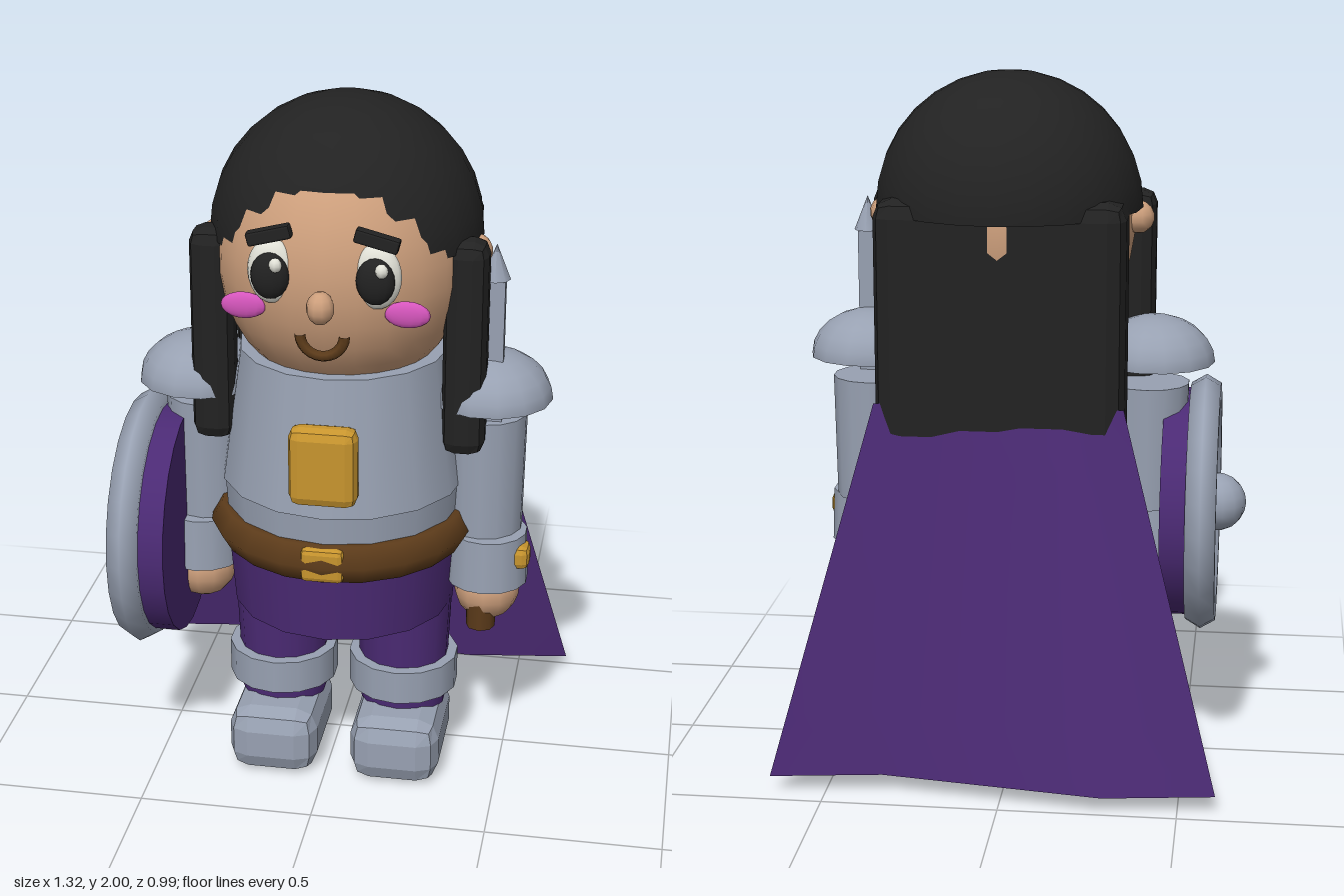
import * as THREE from 'three';
import { RoundedBoxGeometry } from 'three/addons/geometries/RoundedBoxGeometry.js';

export function createModel() {
  const model = new THREE.Group();
  const CX = 0.025, CZ = 0.08; // body axis

  const material = (name, color, extra = {}) => {
    const m = new THREE.MeshStandardMaterial({ color, ...extra });
    m.name = name;
    return m;
  };
  const armour = material('armour grey', 0x98a1b2, { side: THREE.DoubleSide });
  const cloth = material('purple cloth', 0x4b2a74, { side: THREE.DoubleSide });
  const gold = material('gold', 0xc8952e);
  const skin = material('skin', 0xcd9f7c);
  const black = material('black hair', 0x222222, { side: THREE.DoubleSide });
  const leather = material('brown leather', 0x5c3b1a);
  const white = material('eye white', 0xe2e2d8);
  const pink = material('blush pink', 0xd656bd);

  const add = (name, geometry, mat, x, y, z) => {
    const mesh = new THREE.Mesh(geometry, mat);
    mesh.name = name;
    mesh.position.set(x, y, z);
    model.add(mesh);
    return mesh;
  };
  // box with chamfered, flat edges
  const block = (name, mat, w, h, d, chamfer, x, y, z) => {
    const g = new RoundedBoxGeometry(w, h, d, 1, chamfer).toNonIndexed();
    g.computeVertexNormals();
    return add(name, g, mat, x, y, z);
  };
  const ball = (name, mat, rx, ry, rz, x, y, z, seg = 14) =>
    add(name, new THREE.SphereGeometry(1, seg, Math.ceil(seg * 0.7)).scale(rx, ry, rz), mat, x, y, z);
  // upright tapered cylinder between two heights
  const column = (name, mat, rTop, rBottom, y0, y1, x, z, seg = 16) =>
    add(name, new THREE.CylinderGeometry(rTop, rBottom, y1 - y0, seg), mat, x, (y0 + y1) / 2, z);

  // torso, hips and belt
  column('chestArmour', armour, 0.295, 0.35, 0.91, 1.3, CX, CZ);
  column('waistArmour', armour, 0.345, 0.335, 0.76, 0.91, CX, CZ);
  column('hips', cloth, 0.34, 0.32, 0.52, 0.76, CX, CZ);
  add('belt', new THREE.TorusGeometry(0.32, 0.063, 6, 20).rotateX(Math.PI / 2), leather, CX, 0.775, CZ + 0.005);
  block('beltBuckle', gold, 0.12, 0.1, 0.06, 0.015, CX, 0.775, 0.425);
  block('chestPlate', gold, 0.19, 0.23, 0.08, 0.03, CX, 1.065, 0.415);

  // head
  ball('head', skin, 0.355, 0.39, 0.355, CX, 1.57, CZ, 24);
  ball('nose', skin, 0.038, 0.045, 0.04, CX, 1.535, 0.455, 10);
  add('mouth', new THREE.TorusGeometry(0.06, 0.015, 6, 12, Math.PI).rotateZ(Math.PI), leather, CX, 1.45, 0.428);

  // hair
  add('hairCap', new THREE.SphereGeometry(0.38, 24, 8, 0, Math.PI * 2, 0, Math.PI / 2), black, CX, 1.62, 0.03);
  block('backHair', black, 0.7, 0.74, 0.21, 0.05, CX, 1.3, -0.165);

  for (const s of [-1, 1]) {
    const side = s < 0 ? 'right' : 'left';

    // face
    ball(side + 'Ear', skin, 0.045, 0.047, 0.045, CX + s * 0.365, 1.585, 0.07, 10);
    ball(side + 'Eye', white, 0.066, 0.09, 0.035, CX + s * 0.14, 1.61, 0.395, 16);
    ball(side + 'Pupil', black, 0.052, 0.064, 0.03, CX + s * 0.14, 1.605, 0.422);
    ball(side + 'EyeHighlight', white, 0.018, 0.02, 0.016, CX + s * 0.14 + 0.02, 1.643, 0.447, 8);
    ball(side + 'Cheek', pink, 0.062, 0.037, 0.016, CX + s * 0.22, 1.505, 0.385);
    const brow = block(side + 'Eyebrow', black, 0.12, 0.038, 0.035, 0.006, CX + s * 0.143, 1.715, 0.413);
    brow.rotation.z = -s * 0.25;

    // front hair lock
    block(side + 'HairLock', black, 0.12, 0.62, 0.125, 0.04, CX + s * 0.352, 1.34, 0.17);

    // arms
    const ax = CX + s * 0.42;
    const dome = new THREE.SphereGeometry(1, 14, 6, 0, Math.PI * 2, 0, Math.PI / 2).scale(0.175, 0.135, 0.175);
    add(side + 'ShoulderGuard', dome, armour, CX + s * 0.415, 1.165, CZ);
    column(side + 'Sleeve', armour, 0.118, 0.112, 0.75, 1.11, CX + s * 0.402, 0.053, 14);
    column(side + 'Bracer', armour, 0.112, 0.118, 0.6, 0.755, ax, 0.085, 14);
    ball(side + 'Hand', skin, 0.095, 0.095, 0.095, ax, 0.565, 0.08, 12);

    // legs
    const lx = CX + s * 0.18;
    column(side + 'Leg', cloth, 0.14, 0.125, 0.18, 0.54, lx, CZ, 14);
    column(side + 'BootCuff', armour, 0.16, 0.16, 0.24, 0.34, lx, 0.085, 14);
    block(side + 'Boot', armour, 0.26, 0.2, 0.37, 0.06, lx, 0.1, 0.13);
  }

  // sword in the left hand
  const sx = 0.45, sz = 0.12;
  column('swordGrip', leather, 0.045, 0.042, 0.46, 0.66, 0.434, 0.125, 8);
  block('swordGuard', gold, 0.22, 0.07, 0.08, 0.02, 0.46, 0.695, sz);
  add('swordBlade', new THREE.BoxGeometry(0.055, 0.83, 0.035), armour, sx, 1.115, sz);
  add('swordTip', new THREE.ConeGeometry(0.04, 0.1, 8), armour, sx, 1.575, sz);

  // round shield on the right arm, facing outward
  const shY = 0.735, shZ = 0.115;
  add('shieldDisc', new THREE.CylinderGeometry(0.335, 0.335, 0.1, 24).rotateZ(Math.PI / 2), cloth, -0.475, shY, shZ);
  add('shieldRim', new THREE.TorusGeometry(0.325, 0.05, 6, 24).rotateY(Math.PI / 2), armour, -0.54, shY, shZ);
  ball('shieldBoss', armour, 0.085, 0.085, 0.085, -0.58, shY, shZ);

  // cape: a flared sheet whose hem ripples
  const cape = new THREE.PlaneGeometry(2, 1, 4, 6);
  const p = cape.attributes.position;
  for (let i = 0; i < p.count; i++) {
    const u = p.getX(i), drop = 0.5 - p.getY(i);
    p.setXYZ(i,
      u * (0.35 + 0.28 * drop),
      1.1 - 1.05 * drop,
      -0.257 - 0.198 * drop + 0.045 * drop * Math.sin(Math.PI * u));
  }
  cape.computeVertexNormals();
  add('cape', cape, cloth, CX, 0, 0);

  return model;
}
